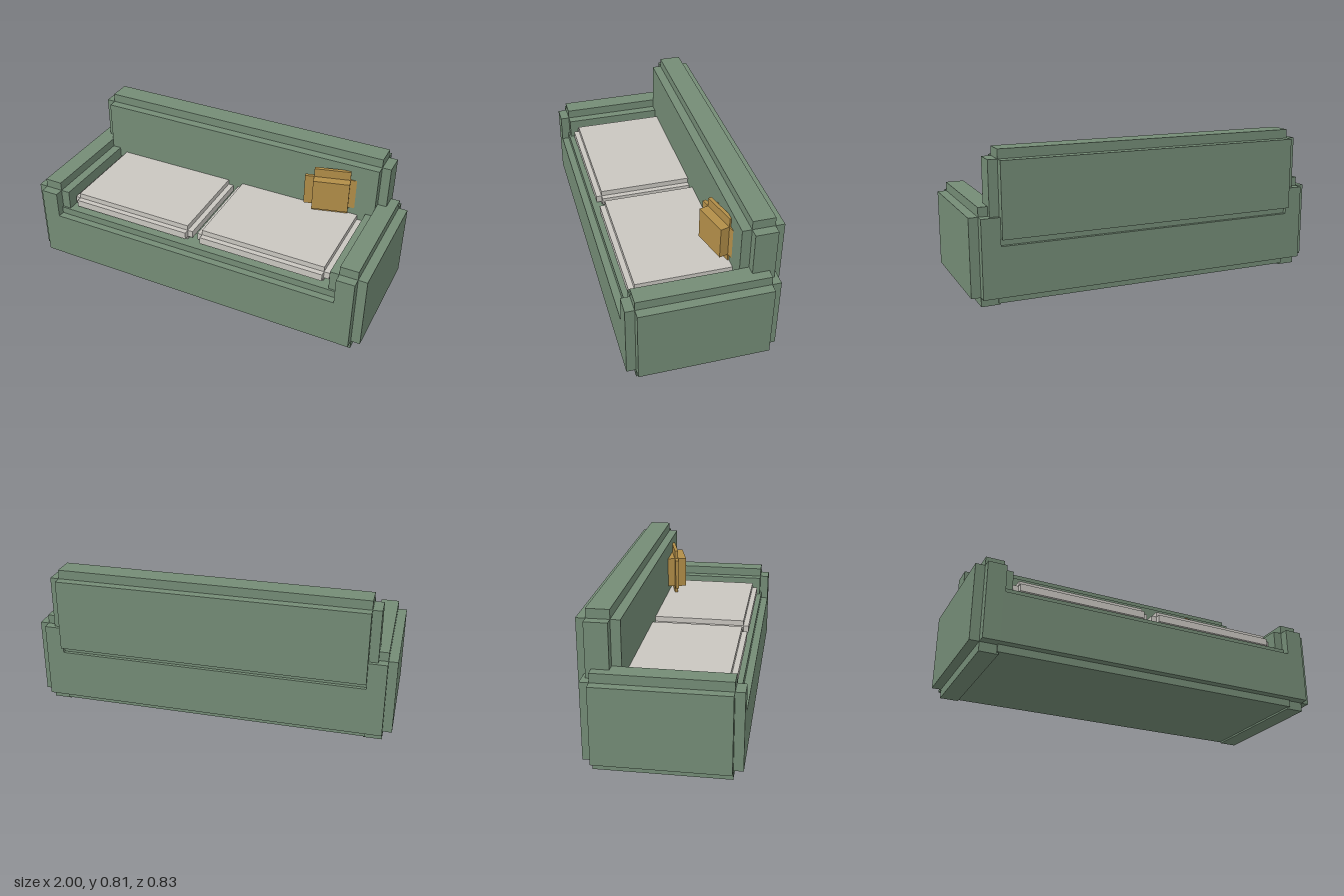
import * as THREE from 'three';

const material = (name, color) => {
  const m = new THREE.MeshStandardMaterial({ color });
  m.name = name;
  return m;
};

// Stepped block: three crossed boxes, each full along one axis and inset by r on the other two
function steppedBlock(name, [w, h, d], r, [x, y, z], mat) {
  const group = new THREE.Group();
  group.name = name;
  const i = 2 * r;
  const sizes = { Wide: [w, h - i, d - i], Tall: [w - i, h, d - i], Deep: [w - i, h - i, d] };
  for (const [key, size] of Object.entries(sizes)) {
    const mesh = new THREE.Mesh(new THREE.BoxGeometry(...size), mat);
    mesh.name = name + key;
    group.add(mesh);
  }
  group.position.set(x, y, z);
  return group;
}

export function createModel() {
  const sofa = new THREE.Group();
  sofa.name = 'sofa';
  const green = material('green upholstery', 0x748c76);
  const grey = material('light grey cushion', 0xc9c6c0);
  const ochre = material('ochre pillow', 0xb28e48);

  // Base and backrest
  sofa.add(steppedBlock('base', [1.8, 0.35, 0.8], 0.04, [0, 0.185, 0.015], green));
  sofa.add(steppedBlock('backrest', [1.8, 0.5, 0.22], 0.05, [0, 0.56, -0.305], green));

  // Mirrored arms and seat cushions
  for (const [side, s] of [['left', 1], ['right', -1]]) {
    sofa.add(steppedBlock(side + 'Arm', [0.2, 0.52, 0.8], 0.05, [s * 0.9, 0.26, 0.015], green));
    sofa.add(steppedBlock(side + 'SeatCushion', [0.77, 0.1, 0.58], 0.03, [s * 0.4, 0.4, 0.06], grey));
  }

  // Throw pillow, turned slightly inward
  const pillow = steppedBlock('throwPillow', [0.3, 0.28, 0.12], 0.05, [0.6, 0.58, -0.17], ochre);
  pillow.rotation.y = 0.26;
  sofa.add(pillow);

  return sofa;
}
